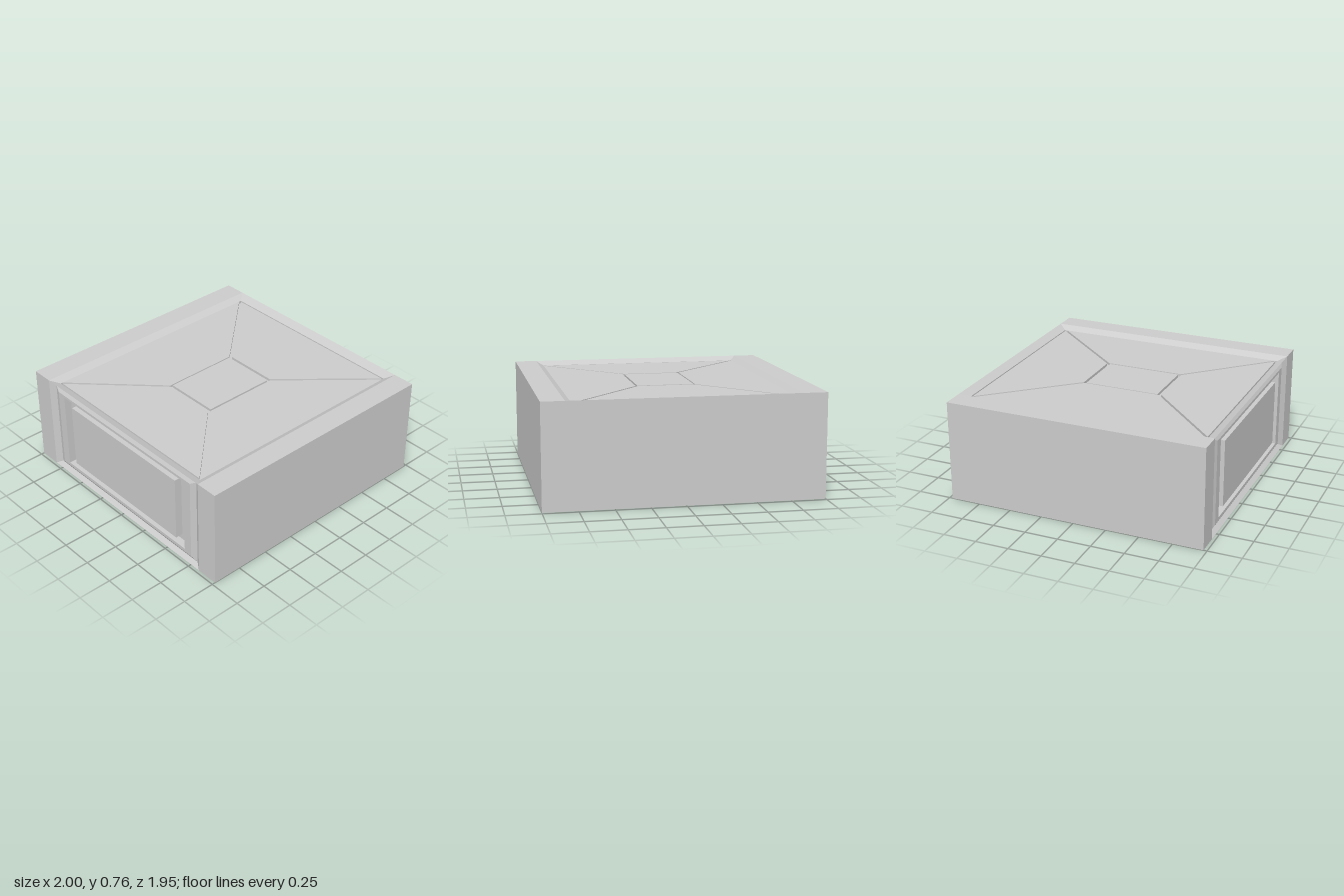
import * as THREE from 'three';

const material = new THREE.MeshStandardMaterial({ color: 0xcccccc, flatShading: true });

// Skin over nested rectangles [x0, x1, v0, v1, depth], facing +z, closed by the last one
function nestedRects(rects) {
  const pos = [];
  const corners = ([x0, x1, v0, v1, d]) => [[x0, v0, d], [x1, v0, d], [x1, v1, d], [x0, v1, d]];
  const quad = (a, b, c, d) => pos.push(...a, ...b, ...c, ...a, ...c, ...d);
  for (let i = 0; i < rects.length - 1; i++) {
    const outer = corners(rects[i]), inner = corners(rects[i + 1]);
    for (let k = 0; k < 4; k++) {
      const n = (k + 1) % 4;
      quad(outer[k], outer[n], inner[n], inner[k]);
    }
  }
  quad(...corners(rects[rects.length - 1]));
  const g = new THREE.BufferGeometry();
  g.setAttribute('position', new THREE.Float32BufferAttribute(pos, 3));
  g.computeVertexNormals();
  return g;
}

export function createModel() {
  const W = 1, H = 0.76, D = 0.975;
  const model = new THREE.Group();
  model.name = 'panelledBlock';
  const add = (parent, name, geometry) => {
    const m = new THREE.Mesh(geometry, material);
    m.name = name;
    parent.add(m);
    return m;
  };

  // Plain sides, back and underside
  const plane = (name, w, h, p, r) => {
    const m = add(model, name, new THREE.PlaneGeometry(w, h));
    m.position.set(...p);
    m.rotation.set(...r);
  };
  for (const s of [1, -1]) {
    plane(s > 0 ? 'leftSide' : 'rightSide', 2 * D, H, [s * W, H / 2, 0], [0, s * Math.PI / 2, 0]);
  }
  plane('back', 2 * W, H, [0, H / 2, -D], [0, Math.PI, 0]);
  plane('underside', 2 * W, 2 * D, [0, 0, 0], [Math.PI / 2, 0, 0]);

  // Front: bevelled groove, frame, sunken channel and raised centre panel
  const front = [
    [W, 0, H, D],
    [0.833, 0, H, D],
    [0.785, 0.03, 0.73, 0.945],
    [0.737, 0.06, 0.70, 0.962],
    [0.67, 0.085, 0.68, 0.962],
    [0.67, 0.085, 0.68, 0.905],
    [0.58, 0.13, 0.635, 0.905],
    [0.58, 0.13, 0.635, 0.962],
  ];
  add(model, 'frontPanel', nestedRects(front.map(([x, ...rest]) => [-x, x, ...rest])));

  // Top: shallow tray with sloping borders, holding inset panels
  const top = new THREE.Group();
  top.name = 'top';
  top.rotation.x = -Math.PI / 2;
  model.add(top);
  const tray = [
    [W, D, H],
    [0.833, D, H],
    [0.78, 0.91, 0.73],
    [0.78, 0.91, 0.71],
  ];
  add(top, 'topTray', nestedRects(tray.map(([x, v, d]) => [-x, x, -v, v, d])));

  // Panels in the tray, outlined in x and -z
  const panels = {
    centrePanel: [[-0.205, -0.31], [0.215, -0.31], [0.215, 0.25], [-0.205, 0.25]],
    backTopPanel: [[-0.765, 0.9], [-0.2, 0.277], [0.215, 0.277], [0.765, 0.9]],
    frontTopPanel: [[-0.765, -0.9], [0.765, -0.9], [0.215, -0.335], [-0.2, -0.335]],
    leftTopPanel: [[0.78, -0.89], [0.78, 0.89], [0.23, 0.265], [0.23, -0.325]],
    rightTopPanel: [[-0.78, 0.89], [-0.78, -0.89], [-0.215, -0.325], [-0.215, 0.265]],
  };
  for (const [name, outline] of Object.entries(panels)) {
    const shape = new THREE.Shape(outline.map(([x, v]) => new THREE.Vector2(x, v)));
    const g = new THREE.ExtrudeGeometry(shape, { depth: 0.02, bevelEnabled: false });
    add(top, name, g).position.z = 0.71;
  }
  return model;
}
